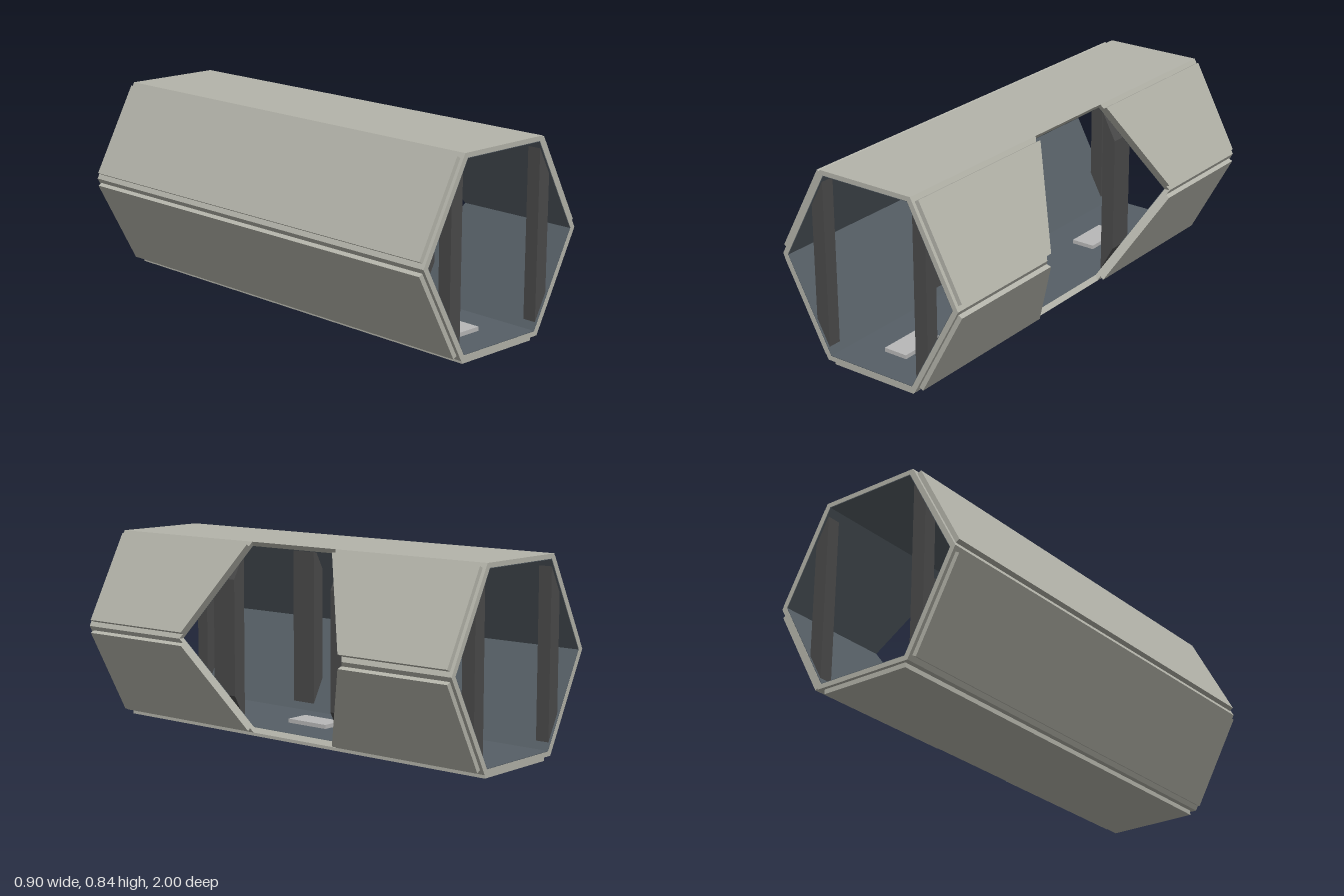
import * as THREE from 'three';

const MID = 0.43;
const OUTER = [[0.225, 0.84], [0.445, MID], [0.225, 0.02], [-0.225, 0.02], [-0.445, MID], [-0.225, 0.84]];
const INNER = [[0.21, 0.82], [0.42, MID], [0.21, 0.04], [-0.21, 0.04], [-0.42, MID], [-0.21, 0.82]];
const LINER = [[0.2085, 0.8175], [0.4175, MID], [0.2085, 0.0425], [-0.2085, 0.0425], [-0.4175, MID], [-0.2085, 0.8175]];
const WALLS = ['upperLeft', 'lowerLeft', 'floor', 'lowerRight', 'upperRight', 'roof'];

export function createModel() {
  const model = new THREE.Group();
  const mat = (color) => new THREE.MeshStandardMaterial({ color, flatShading: true });
  const shellMat = mat(0xb4b4aa);
  const linerMat = mat(0x565f66);
  const pillarMat = mat(0x4a4a4a);
  const padMat = mat(0xb8b8b8);

  // Prism of a cross-section; its two ends may slope with height
  function prism(name, points, back, front, material) {
    const shape = new THREE.Shape(points.map(([x, y]) => new THREE.Vector2(x, y)));
    const geo = new THREE.ExtrudeGeometry(shape, { depth: 1, bevelEnabled: false });
    const pos = geo.attributes.position;
    const at = (end, y) => (typeof end === 'function' ? end(y) : end);
    for (let i = 0; i < pos.count; i++) {
      const y = pos.getY(i);
      pos.setZ(i, THREE.MathUtils.lerp(at(back, y), at(front, y), pos.getZ(i)));
    }
    geo.computeVertexNormals();
    const mesh = new THREE.Mesh(geo, material);
    mesh.name = name;
    model.add(mesh);
  }

  // Hexagonal doorway on the left side, widest at mid height
  const halfDoor = (y) => 0.45 - 0.22 * Math.abs(y - MID) / 0.41;
  const doorFront = (y) => -0.015 + halfDoor(y);
  const doorBack = (y) => -0.015 - halfDoor(y);

  // A wall piece, split in two where the doorway passes
  function wall(name, points, end, split, material) {
    if (split) {
      prism(name + 'Front', points, doorFront, end, material);
      prism(name + 'Back', points, -end, doorBack, material);
    } else {
      prism(name, points, -end, end, material);
    }
  }

  WALLS.forEach((name, i) => {
    const j = (i + 1) % 6;
    const split = i < 2;
    // Structural wall and dark inner lining
    wall(name + 'Wall', [OUTER[i], OUTER[j], INNER[j], INNER[i]], 1, split, shellMat);
    wall(name + 'Lining', [INNER[i], INNER[j], LINER[j], LINER[i]], 0.999, split, linerMat);
    if (name === 'roof') return;
    // Raised outer cladding panel
    const a = new THREE.Vector2(...OUTER[i]);
    const b = new THREE.Vector2(...OUTER[j]);
    const dir = b.clone().sub(a).normalize();
    const out = new THREE.Vector2(-dir.y, dir.x).multiplyScalar(0.02);
    const inset = 0.022;
    a.addScaledVector(dir, inset);
    b.addScaledVector(dir, -inset);
    const quad = [a, b, b.clone().add(out), a.clone().add(out)].map((p) => [p.x, p.y]);
    wall(name + 'Panel', quad, 0.985, split, shellMat);
  });

  // Upright pillars fitted against the sloping walls
  const spans = [[0.93, 0.99], [0.265, 0.385], [-0.385, -0.27], [-0.99, -0.93]];
  for (const side of [1, -1]) {
    const section = [[0.225, 0.068], [0.285, 0.18], [0.285, 0.68], [0.225, 0.792]]
      .map(([x, y]) => [x * side, y]);
    for (const [back, front] of spans) {
      prism(side > 0 ? 'leftPillar' : 'rightPillar', section, back, front, pillarMat);
    }
  }

  // Low pads along the floor
  for (const z of [0.74, 0.065, -0.57]) {
    const pad = new THREE.Mesh(new THREE.BoxGeometry(0.11, 0.018, 0.21), padMat);
    pad.name = 'floorPad';
    pad.position.set(-0.005, 0.051, z);
    model.add(pad);
  }
  return model;
}
